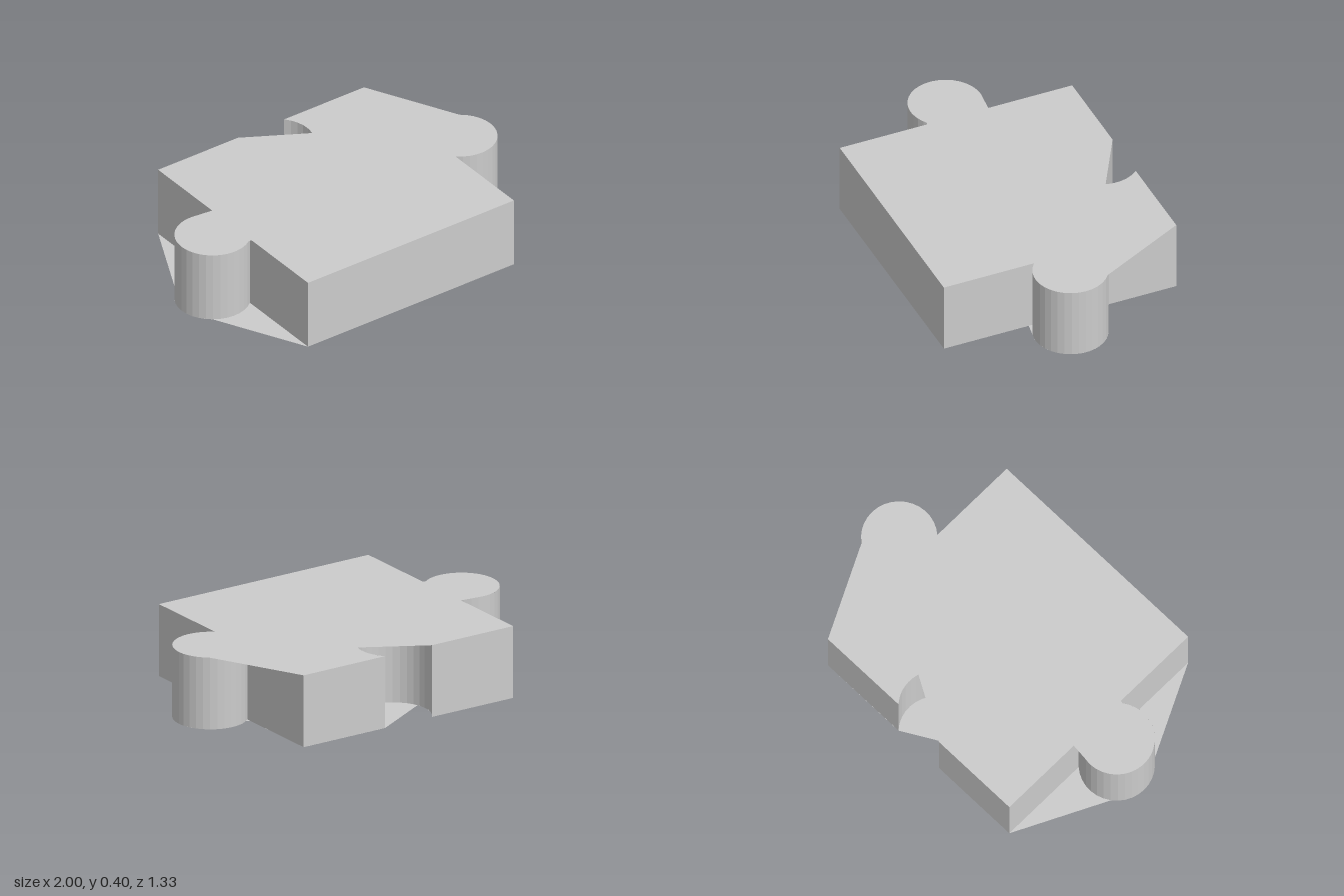
import * as THREE from 'three';

const H = 0.4; // thickness
const S = 0.667; // half width of the square body
const R = 0.2; // radius of knobs and notch
const K = 0.8; // knob centre distance from the middle
const N = -0.533; // notch centre z

const material = new THREE.MeshStandardMaterial({
  color: 0xcccccc, flatShading: true, side: THREE.DoubleSide,
});

// Points [x, z] along an arc in the plan, angles in degrees
function arc(cx, cz, from, to) {
  const n = Math.max(2, Math.round(Math.abs(to - from) / 11));
  return Array.from({ length: n + 1 }, (_, i) => {
    const a = THREE.MathUtils.degToRad(from + ((to - from) * i) / n);
    return [cx + R * Math.cos(a), cz + R * Math.sin(a)];
  });
}
const rightKnob = (a, b) => arc(K, 0, a, b);
const leftKnob = (a, b) => arc(-K, 0, a, b);
const notch = (a, b) => arc(0, N, a, b);

// Upright wall following a closed plan outline
function wall(points) {
  const pos = [];
  points.forEach(([x0, z0], i) => {
    const [x1, z1] = points[(i + 1) % points.length];
    pos.push(x0, 0, z0, x1, 0, z1, x1, H, z1);
    pos.push(x0, 0, z0, x1, H, z1, x0, H, z0);
  });
  const g = new THREE.BufferGeometry();
  g.setAttribute('position', new THREE.Float32BufferAttribute(pos, 3));
  g.computeVertexNormals();
  return g;
}

// Flat cap facing up (side = 1) or down (side = -1)
function cap(points, side, y) {
  const shape = new THREE.Shape(points.map(([x, z]) => new THREE.Vector2(x, -side * z)));
  return new THREE.ShapeGeometry(shape).rotateX((-side * Math.PI) / 2).translate(0, y, 0);
}

export function createModel() {
  const group = new THREE.Group();
  group.name = 'puzzlePiece';
  const add = (name, geometry) => {
    const mesh = new THREE.Mesh(geometry, material);
    mesh.name = name;
    group.add(mesh);
  };

  // Side wall: square with two knobs and a round notch in the back
  add('sideWall', wall([
    [S, S], ...rightKnob(131.8, -131.8),
    [S, -S], ...notch(-41.8, 221.8),
    [-S, -S], ...leftKnob(-48.2, -311.8), [-S, S],
  ]));

  // Top: web behind the right knob, notch partly covered by a straight edge
  add('topFace', cap([
    [S, S], ...rightKnob(131.8, -54),
    [S, -S], ...notch(-41.8, 17), [-0.149, -S],
    [-S, -S], [-S, -0.186], ...leftKnob(-78, -306), [-S, 0.165], [-S, S],
  ], 1, H));

  // Bottom: webs on both sides of the left knob, notch covered the other way
  add('bottomFace', cap([
    [S, S], [S, 0.18], ...rightKnob(104, -126), [S, -0.175],
    [S, -S], [0.149, -S], ...notch(163, 221.8),
    [-S, -S], ...leftKnob(-126, -234), [-S, S],
  ], -1, 0));

  return group;
}
